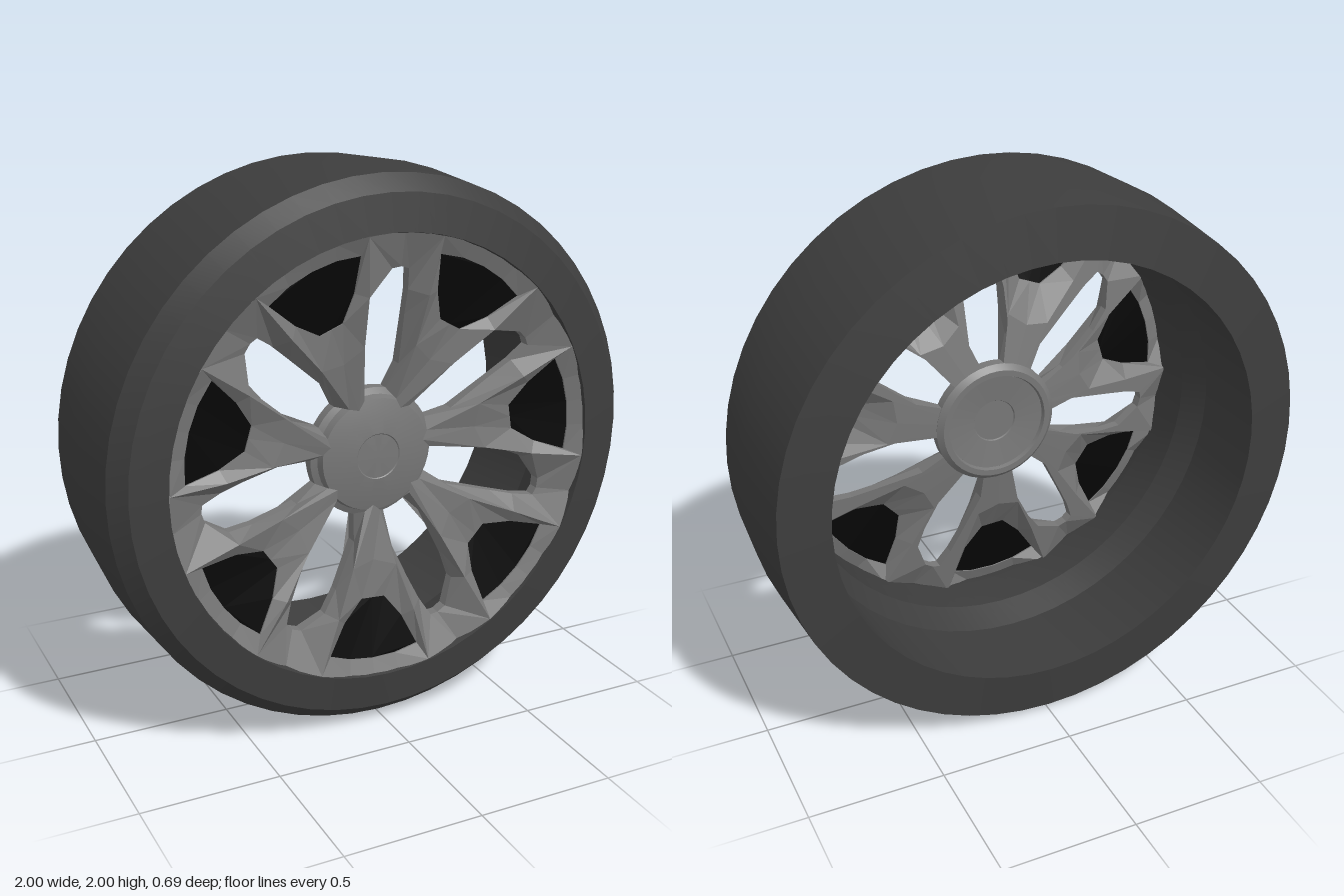
import * as THREE from 'three';
import { toCreasedNormals } from 'three/addons/utils/BufferGeometryUtils.js';

const SPOKES = 7;
const STEP = (Math.PI * 2) / SPOKES;
const HALF = STEP / 2;
const FIRST = THREE.MathUtils.degToRad(9);

function material(name, color, side = THREE.FrontSide) {
  const m = new THREE.MeshStandardMaterial({ color, side });
  m.name = name;
  return m;
}

// Revolve a [radius, z] profile around the wheel axis
function revolve(name, profile, mat, segments, crease) {
  const points = profile.map(([r, z]) => new THREE.Vector2(r, z));
  const geo = toCreasedNormals(new THREE.LatheGeometry(points, segments).rotateX(Math.PI / 2), crease);
  const mesh = new THREE.Mesh(geo, mat);
  mesh.name = name;
  return mesh;
}

// Point given in the spoke's own frame: u outward, v sideways
const S = (u, v, z) => [u, v, z];
// Point given from the centreline of the opening, w towards the spoke
const H = (u, w, z) => [
  u * Math.cos(HALF) + w * Math.sin(HALF),
  u * Math.sin(HALF) - w * Math.cos(HALF), z];
// Point given by radius and angle in degrees
const P = (r, deg, z) => [r * Math.cos(deg * Math.PI / 180), r * Math.sin(deg * Math.PI / 180), z];

// Corner points of half a forked spoke: s stem, w insert, c crest, e opening, r rim
const V = {
  s0: S(0.185, 0, 0.235), s1: S(0.38, 0, 0.265), s2: S(0.52, 0, 0.28),
  w1: S(0.52, 0.045, 0.28), w2: S(0.6, 0.115, 0.295), w3: S(0.712, 0.178, 0.312),
  w4: P(0.743, 7, 0.312), w5: P(0.745, 0, 0.312),
  c0: H(0.2, 0.062, 0.233), c1: H(0.4, 0.098, 0.28), c2: H(0.58, 0.113, 0.32), c3: H(0.785, 0.14, 0.343),
  e0: H(0.23, 0.045, 0.19), e1: H(0.32, 0.08, 0.215), e2: H(0.5, 0.08, 0.24),
  e3: H(0.59, 0.073, 0.26), e4: H(0.668, 0.032, 0.28), e5: H(0.675, 0, 0.28),
  r0: P(0.805, 0, 0.335), r1: P(0.805, 7, 0.335), r2: H(0.805, 0, 0.325),
};
// The openings lean slightly around the axis (radians)
const LEAN = { e0: 0.025, e1: 0.03, e2: 0.03, e3: 0.02, e4: -0.025, e5: -0.03 };
const FACES = [
  's0 c0 c1 s1', 's1 c1 w1 s2', 'w1 c1 c2 w2', 'w2 c2 c3 w3', // stem and arm
  'w3 c3 r1 w4', 'w4 r1 r0 w5', // rim above the insert
  'c0 e0 e1 c1', 'c1 e1 e2 c2', 'c2 e2 e3', 'c2 e3 e4 c3', 'c3 e4 e5 r2', // slope into the opening
];
const WALLS = ['e0 e1 e2 e3 e4 e5', 's2 w1 w2 w3 w4 w5'];

function front(key, side) {
  const [x, y, z] = V[key];
  const a = LEAN[key] || 0;
  return [
    x * Math.cos(a) - y * side * Math.sin(a),
    x * Math.sin(a) + y * side * Math.cos(a), z];
}

// Rear surface: thin around the insert and rim, deeper along the arms
function rear(key, side) {
  const [x, y, z] = front(key, side);
  const thin = /^(s2|w|r)/.test(key);
  return [x, y, thin ? z - 0.012 : 0.145 + 0.2 * (Math.hypot(x, y) - 0.2)];
}

function facetGeometry(build) {
  const out = [];
  // Add a polygon as a fan; facing = +1 / -1 orients it along z, 0 keeps its order
  const add = (poly, facing) => {
    let area = 0;
    poly.forEach((a, i) => {
      const b = poly[(i + 1) % poly.length];
      area += a[0] * b[1] - a[1] * b[0];
    });
    const p = facing && area * facing < 0 ? [...poly].reverse() : poly;
    for (let i = 1; i < p.length - 1; i++) out.push(...p[0], ...p[i], ...p[i + 1]);
  };
  build(add);
  const geo = new THREE.BufferGeometry();
  geo.setAttribute('position', new THREE.Float32BufferAttribute(out, 3));
  geo.computeVertexNormals();
  return geo;
}

function spokeGeometry() {
  return facetGeometry((add) => {
    for (const side of [1, -1]) {
      for (const face of FACES) {
        const keys = face.split(' ');
        add(keys.map((k) => front(k, side)), 1);
        add(keys.map((k) => rear(k, side)), -1);
      }
      for (const wall of WALLS) {
        const keys = wall.split(' ');
        for (let i = 0; i < keys.length - 1; i++) {
          const [a, b] = [keys[i], keys[i + 1]];
          const quad = [front(a, side), front(b, side), rear(b, side), rear(a, side)];
          add(side > 0 ? quad : quad.reverse(), 0);
        }
      }
    }
  });
}

// Thin dark plate filling the fork of a spoke
function insertGeometry() {
  const keys = ['s2', 'w1', 'w2', 'w3', 'w4', 'w5'];
  return facetGeometry((add) => {
    for (const side of [1, -1]) {
      add(keys.map((k) => front(k, side)).map(([x, y, z]) => [x, y, z - 0.006]), 1);
    }
  });
}

export function createModel() {
  const rubber = material('tyre rubber', 0x3d3d3d);
  const metal = material('rim metal', 0x777777, THREE.DoubleSide);
  const dark = material('dark insert', 0x060606, THREE.DoubleSide);

  const wheel = new THREE.Group();
  wheel.name = 'wheel';
  wheel.position.y = 1;

  // Tyre with its hollow, stepped inner barrel
  wheel.add(revolve('tyre', [
    [0.8, -0.345], [0.978, -0.325], [1, 0], [0.985, 0.265], [0.93, 0.33], [0.8, 0.345],
    [0.785, 0.28], [0.78, 0.11], [0.82, 0], [0.8, -0.345],
  ], rubber, 56, 0.2));

  // Domed hub with a round centre cap, a low flange and a lipped back
  wheel.add(revolve('hub', [
    [0, 0.162], [0.08, 0.162], [0.083, 0.157], [0.188, 0.145], [0.193, 0.13], [0.215, 0.13],
    [0.235, 0.15], [0.235, 0.19], [0.213, 0.2], [0.205, 0.228], [0.15, 0.241],
    [0.083, 0.249], [0.08, 0.246], [0, 0.248],
  ], metal, 42, 0.4));

  // Forked spokes and their inserts
  const spokeGeo = spokeGeometry();
  const insertGeo = insertGeometry();
  for (let i = 0; i < SPOKES; i++) {
    const spoke = new THREE.Mesh(spokeGeo, metal);
    spoke.name = 'spoke';
    const insert = new THREE.Mesh(insertGeo, dark);
    insert.name = 'spokeInsert';
    spoke.rotation.z = insert.rotation.z = FIRST + i * STEP;
    wheel.add(spoke, insert);
  }

  const model = new THREE.Group();
  model.name = 'roadWheel';
  model.add(wheel);
  return model;
}
